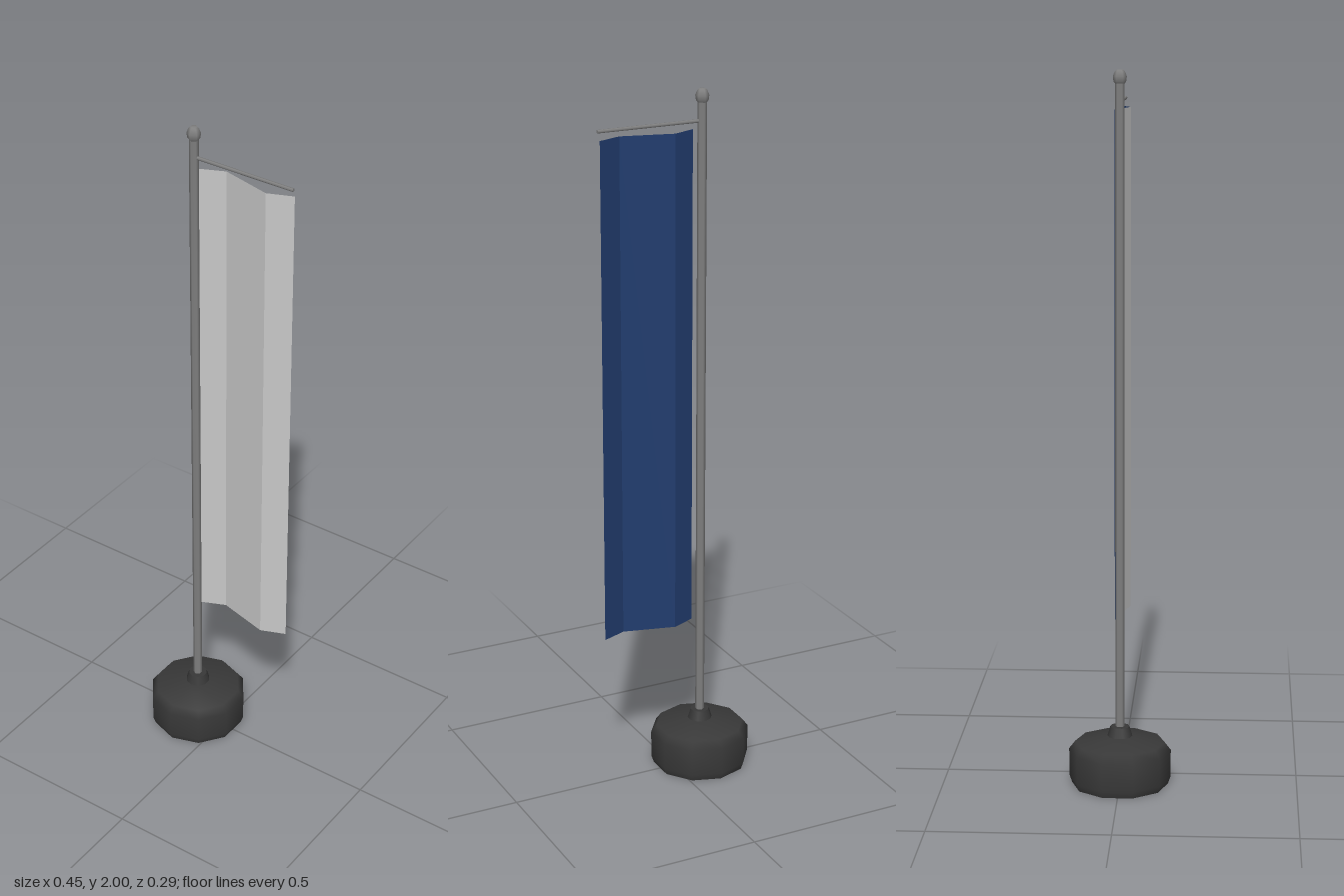
import * as THREE from 'three';

const mat = (name, color, side = THREE.FrontSide) => {
  const m = new THREE.MeshStandardMaterial({ color, side });
  m.name = name;
  return m;
};

export function createModel() {
  const group = new THREE.Group();
  const rubber = mat('dark rubber', 0x383838);
  const metal = mat('grey metal', 0x808080);
  const white = mat('pale cloth', 0xc8c8c8);
  const navy = mat('navy cloth', 0x213c6e);
  const poleX = -0.087;

  const add = (name, geometry, material, x = 0, y = 0) => {
    const mesh = new THREE.Mesh(geometry, material);
    mesh.name = name;
    mesh.position.set(x, y, 0);
    group.add(mesh);
    return mesh;
  };
  const lathe = (points, sides) =>
    new THREE.LatheGeometry(points.map(([r, y]) => new THREE.Vector2(r, y)), sides);

  // Weighted ten-sided foot and the collar that holds the pole
  add('base', lathe([[0, 0], [0.136, 0], [0.136, 0], [0.143, 0.02], [0.144, 0.1],
    [0.127, 0.122], [0.037, 0.14], [0, 0.142]], 10), rubber, poleX);
  add('collar', lathe([[0.037, 0.135], [0.034, 0.145], [0.027, 0.168], [0.027, 0.168],
    [0, 0.168]], 10), rubber, poleX);

  // Six-sided pole with a small knob
  add('pole', new THREE.CylinderGeometry(0.013, 0.013, 1.82, 6), metal, poleX, 1.06);
  add('finial', lathe([[0.012, 1.962], [0.017, 1.968], [0.019, 1.982], [0.014, 1.995],
    [0.009, 2], [0, 2]], 6), metal, poleX);

  // Cross bar
  const bar = add('crossBar', new THREE.CylinderGeometry(0.005, 0.005, 0.302, 6), metal, 0.071, 1.913);
  bar.rotation.z = Math.PI / 2;

  // Folded banner: pale front and navy back, one sheet each
  const folds = [[-0.064, 0.01], [0.003, -0.019], [0.15, 0.018], [0.22, -0.01]];
  const sheet = (offset, flip) => {
    const position = [];
    for (let i = 0; i < folds.length - 1; i++) {
      const [[x0, z0], [x1, z1]] = [folds[i], folds[i + 1]];
      const a = [x0, 0.455, z0 + offset], b = [x1, 0.455, z1 + offset];
      const c = [x1, 1.89, z1 + offset], d = [x0, 1.89, z0 + offset];
      const corners = flip ? [a, c, b, a, d, c] : [a, b, c, a, c, d];
      position.push(...corners.flat());
    }
    const g = new THREE.BufferGeometry();
    g.setAttribute('position', new THREE.Float32BufferAttribute(position, 3));
    g.computeVertexNormals();
    return g;
  };
  add('bannerFront', sheet(0.0005, false), white);
  add('bannerBack', sheet(-0.0005, true), navy);

  return group;
}
